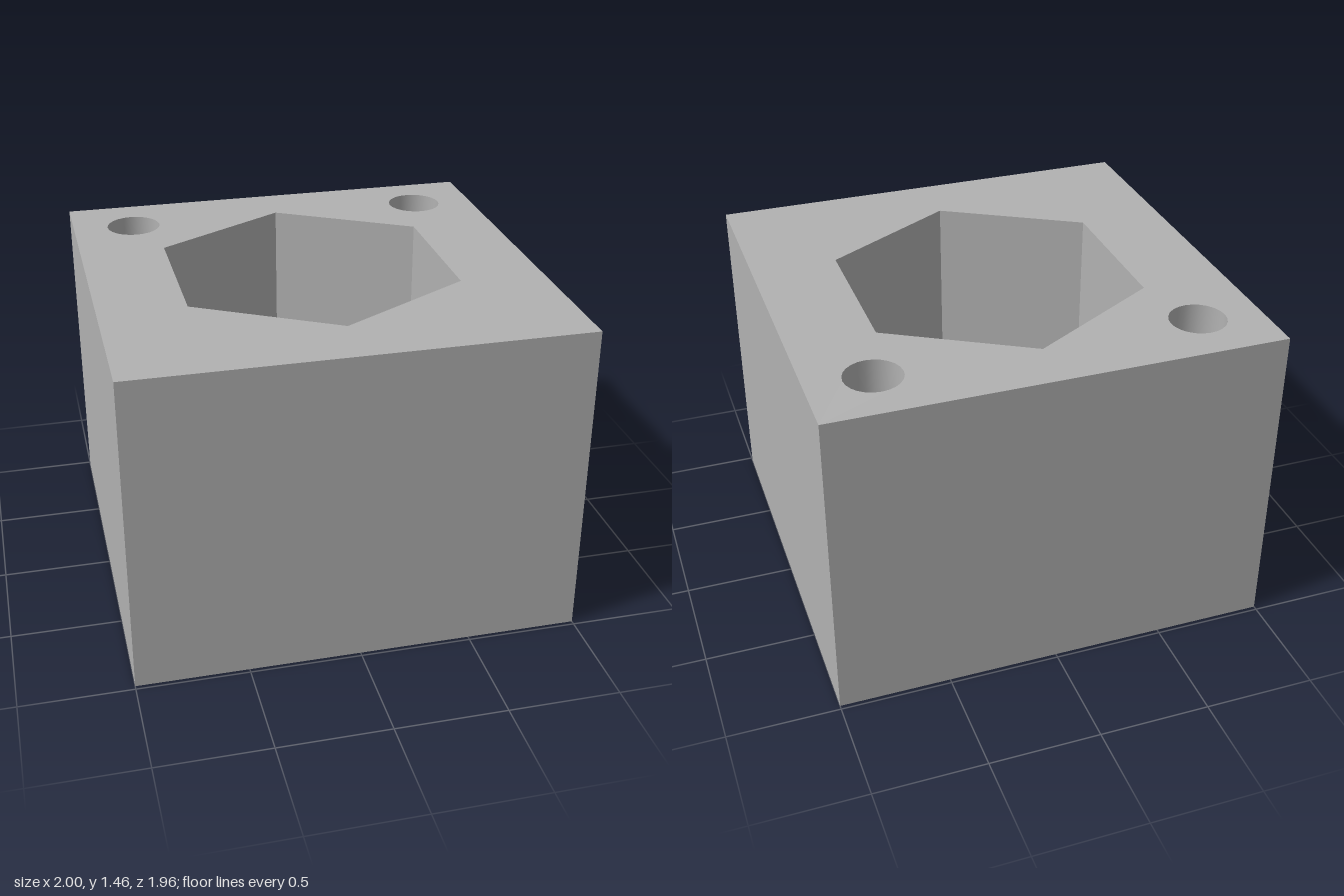
import * as THREE from 'three';
import { mergeGeometries, toCreasedNormals } from 'three/addons/utils/BufferGeometryUtils.js';

const W = 1, D = 0.98, H = 1.455; // half width, half depth, height
const FLOOR = 0.23;               // height of the ledge inside the hexagonal pocket
const PIN_FLOOR = 0.23;           // bottom of the blind round holes

// Counter-clockwise regular polygon seen from above; y here is -z
function ring(x, y, r, sides, start = 0) {
  return Array.from({ length: sides }, (_, i) => {
    const a = start + (i * 2 * Math.PI) / sides;
    return new THREE.Vector2(x + r * Math.cos(a), y + r * Math.sin(a));
  });
}

// Horizontal face with holes, facing up or down
function plate(outline, holes, height, up = true) {
  const shape = new THREE.Shape(outline);
  shape.holes = holes.map((h) => new THREE.Path(h));
  const geo = new THREE.ShapeGeometry(shape).toNonIndexed();
  geo.deleteAttribute('uv');
  geo.rotateX(-Math.PI / 2);
  if (!up) {
    const p = geo.attributes.position;
    for (let i = 0; i < p.count; i += 3) {
      const b = new THREE.Vector3().fromBufferAttribute(p, i + 1);
      p.setXYZ(i + 1, p.getX(i + 2), p.getY(i + 2), p.getZ(i + 2));
      p.setXYZ(i + 2, b.x, b.y, b.z);
    }
    geo.computeVertexNormals();
  }
  return geo.translate(0, height, 0);
}

// Vertical wall around a loop, facing outward, or inward for a hole
function wall(loop, y0, y1, inward = false) {
  const pts = inward ? [...loop].reverse() : loop;
  const pos = [];
  pts.forEach((a, i) => {
    const b = pts[(i + 1) % pts.length];
    pos.push(a.x, y0, -a.y, b.x, y0, -b.y, b.x, y1, -b.y);
    pos.push(a.x, y0, -a.y, b.x, y1, -b.y, a.x, y1, -a.y);
  });
  const geo = new THREE.BufferGeometry();
  geo.setAttribute('position', new THREE.Float32BufferAttribute(pos, 3));
  geo.computeVertexNormals();
  return toCreasedNormals(geo, 0.5);
}

export function createModel() {
  const group = new THREE.Group();
  group.name = 'nutBlock';
  const grey = new THREE.MeshStandardMaterial({ color: 0xb2b2b2 });
  grey.name = 'grey';
  const add = (name, ...geos) => {
    const mesh = new THREE.Mesh(mergeGeometries(geos), grey);
    mesh.name = name;
    group.add(mesh);
  };

  const outline = [[-W, -D], [W, -D], [W, D], [-W, D]].map(([x, y]) => new THREE.Vector2(x, y));
  const hexagon = ring(0, 0.02, 0.706, 6, Math.PI / 2);
  const bore = ring(0, 0.02, 0.464, 24);
  const pins = [-1, 1].map((s) => ring(s * 0.713, 0.703, 0.126, 24));

  // Outer block
  add('block',
    wall(outline, 0, H),
    plate(outline, [hexagon, ...pins], H),
    plate(outline, [bore], 0, false));

  // Hexagonal pocket with a ledge around the bore
  add('hexPocket', wall(hexagon, FLOOR, H, true), plate(hexagon, [bore], FLOOR));

  // Round through bore under the pocket
  add('bore', wall(bore, 0, FLOOR, true));

  // Blind round holes near the back corners
  pins.forEach((pin, i) =>
    add(i ? 'leftPinHole' : 'rightPinHole', wall(pin, PIN_FLOOR, H, true), plate(pin, [], PIN_FLOOR)));

  return group;
}
